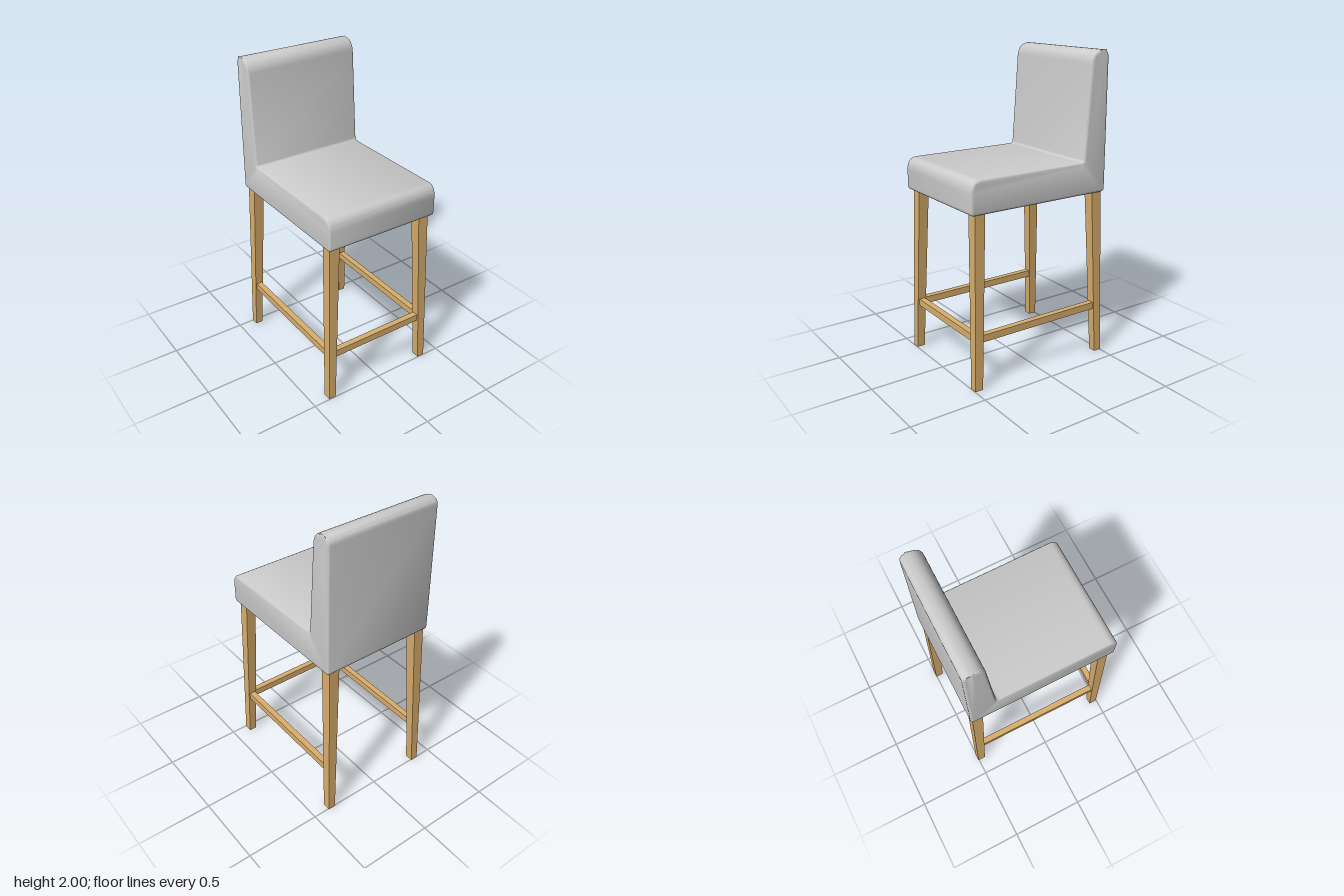
import * as THREE from 'three';
import { toCreasedNormals } from 'three/addons/utils/BufferGeometryUtils.js';

const fabric = new THREE.MeshStandardMaterial({ color: 0xcccccc });
const wood = new THREE.MeshStandardMaterial({ color: 0xd9ae6c });

// Closed outline through [x, y, radius] corners, each rounded off
function roundedOutline(corners) {
  const shape = new THREE.Shape();
  const n = corners.length;
  const toward = (a, b, d) => {
    const l = Math.hypot(b[0] - a[0], b[1] - a[1]);
    return [a[0] + (b[0] - a[0]) * d / l, a[1] + (b[1] - a[1]) * d / l];
  };
  corners.forEach((c, i) => {
    const start = toward(c, corners[(i + n - 1) % n], c[2]);
    const end = toward(c, corners[(i + 1) % n], c[2]);
    if (i === 0) shape.moveTo(...start); else shape.lineTo(...start);
    shape.quadraticCurveTo(c[0], c[1], ...end);
  });
  shape.closePath();
  return shape;
}

// L-shaped side profile extruded across the width with soft edges
function upholstery() {
  const bevel = 0.016, halfWidth = 0.388;
  const profile = roundedOutline([
    [-0.507, 1.108, 0.025],
    [0.495, 1.108, 0.025],
    [0.495, 2.0, 0.05],
    [0.365, 2.0, 0.085],
    [0.317, 1.318, 0.022],
    [-0.494, 1.318, 0.055],
    [-0.507, 1.25, 0.012],
  ]);
  const geo = new THREE.ExtrudeGeometry(profile, {
    depth: 2 * (halfWidth - bevel), curveSegments: 8,
    bevelEnabled: true, bevelThickness: bevel, bevelSize: bevel, bevelOffset: -bevel, bevelSegments: 4,
  });
  geo.translate(0, 0, -(halfWidth - bevel));
  geo.rotateY(Math.PI / 2);
  const mesh = new THREE.Mesh(toCreasedNormals(geo, 0.6), fabric);
  mesh.name = 'seatAndBackrest';
  return mesh;
}

// Tapered, splayed leg: x and z ranges given at the floor and under the seat
function leg(name, foot, top) {
  const height = 1.12;
  const geo = new THREE.BoxGeometry(1, 1, 1);
  const p = geo.attributes.position;
  for (let i = 0; i < p.count; i++) {
    const up = p.getY(i) > 0;
    const [x0, x1, z0, z1] = up ? top : foot;
    p.setXYZ(i, p.getX(i) > 0 ? x1 : x0, up ? height : 0, p.getZ(i) > 0 ? z1 : z0);
  }
  geo.computeVertexNormals();
  const mesh = new THREE.Mesh(geo, wood);
  mesh.name = name;
  return mesh;
}

function rail(name, w, d, x, z) {
  const mesh = new THREE.Mesh(new THREE.BoxGeometry(w, 0.046, d), wood);
  mesh.position.set(x, 0.329, z);
  mesh.name = name;
  return mesh;
}

export function createModel() {
  const model = new THREE.Group();
  model.name = 'barStool';
  model.add(upholstery());

  for (const [side, s] of [['Left', 1], ['Right', -1]]) {
    const xs = (a, b) => (s > 0 ? [a, b] : [-b, -a]);
    const foot = xs(0.341, 0.391), top = xs(0.295, 0.366);
    model.add(leg('front' + side + 'Leg', [...foot, 0.443, 0.497], [...top, 0.401, 0.471]));
    model.add(leg('back' + side + 'Leg', [...foot, -0.505, -0.452], [...top, -0.48, -0.407]));
    // Side stretcher between front and back leg
    model.add(rail('side' + side + 'Stretcher', 0.04, 0.9, s * 0.355, -0.005));
  }
  // Footrest between the front legs
  model.add(rail('frontStretcher', 0.69, 0.04, 0, 0.458));
  return model;
}
